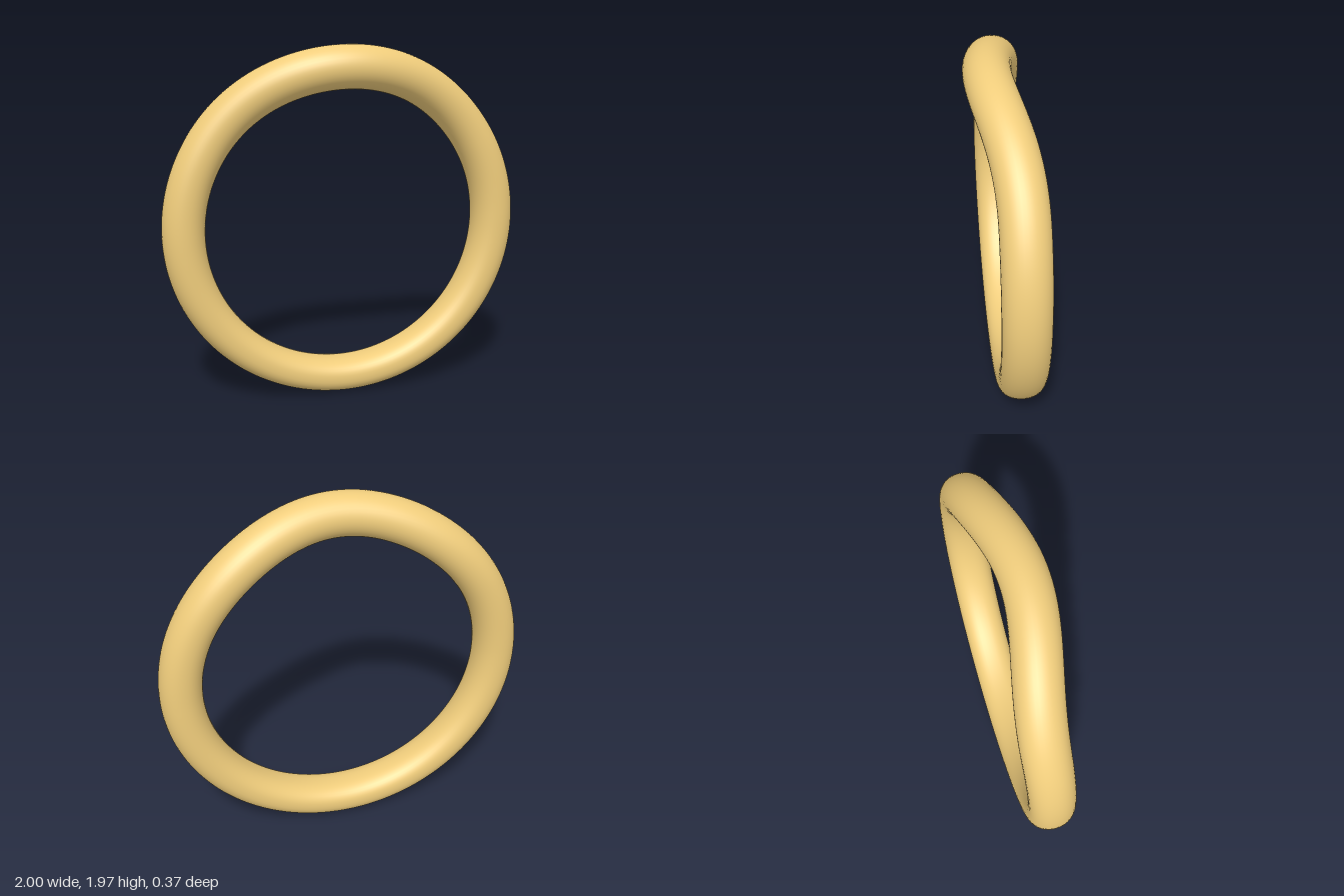
import * as THREE from 'three';

const RING_STEPS = 160, SECTION_STEPS = 40;

// Centre line: a near-circle whose top bends smoothly forward.
function centre(t) {
  const x = 0.885 * Math.cos(t), s = Math.sin(t);
  const bend = s > 0 && Math.abs(x) < 0.76 ? 0.5 + 0.5 * Math.cos(Math.PI * x / 0.76) : 0;
  const z = -0.052 + 0.109 * bend + 0.01 * Math.min(s, 0);
  return new THREE.Vector3(x, 0.973 + 0.877 * s, z);
}

// Rounded section, a little squarer than an ellipse.
const soft = (v, power) => Math.sign(v) * Math.pow(Math.abs(v), power);

function ringGeometry() {
  const positions = [], index = [];
  for (let i = 0; i < RING_STEPS; i++) {
    const t = i / RING_STEPS * Math.PI * 2, s = Math.sin(t);
    const c = centre(t);
    const tangent = centre(t + 0.01).sub(centre(t - 0.01)).normalize();
    const radial = new THREE.Vector3(Math.cos(t), s, 0);
    radial.addScaledVector(tangent, -radial.dot(tangent)).normalize();
    const across = tangent.clone().cross(radial);
    // The band thins towards the bottom.
    const halfWidth = 0.115 + (s > 0 ? 0.003 : -0.019) * s * s;
    const halfDepth = 0.124;
    const power = s < 0 ? 0.94 - 0.08 * s * s : 0.94 + 0.06 * s * s;
    for (let j = 0; j < SECTION_STEPS; j++) {
      const a = j / SECTION_STEPS * Math.PI * 2;
      const p = c.clone()
        .addScaledVector(radial, halfWidth * soft(Math.cos(a), power))
        .addScaledVector(across, halfDepth * soft(Math.sin(a), power));
      positions.push(p.x, p.y, p.z);
      const i2 = (i + 1) % RING_STEPS, j2 = (j + 1) % SECTION_STEPS;
      const p00 = i * SECTION_STEPS + j, p10 = i2 * SECTION_STEPS + j;
      const p01 = i * SECTION_STEPS + j2, p11 = i2 * SECTION_STEPS + j2;
      index.push(p00, p01, p10, p10, p01, p11);
    }
  }
  const geometry = new THREE.BufferGeometry();
  geometry.setAttribute('position', new THREE.Float32BufferAttribute(positions, 3));
  geometry.setIndex(index);
  geometry.computeVertexNormals();
  return geometry;
}

export function createModel() {
  const group = new THREE.Group();
  group.name = 'curvedRing';
  const band = new THREE.Mesh(ringGeometry(), new THREE.MeshStandardMaterial({ color: 0xf0cd7c }));
  band.name = 'band';
  group.add(band);
  return group;
}
